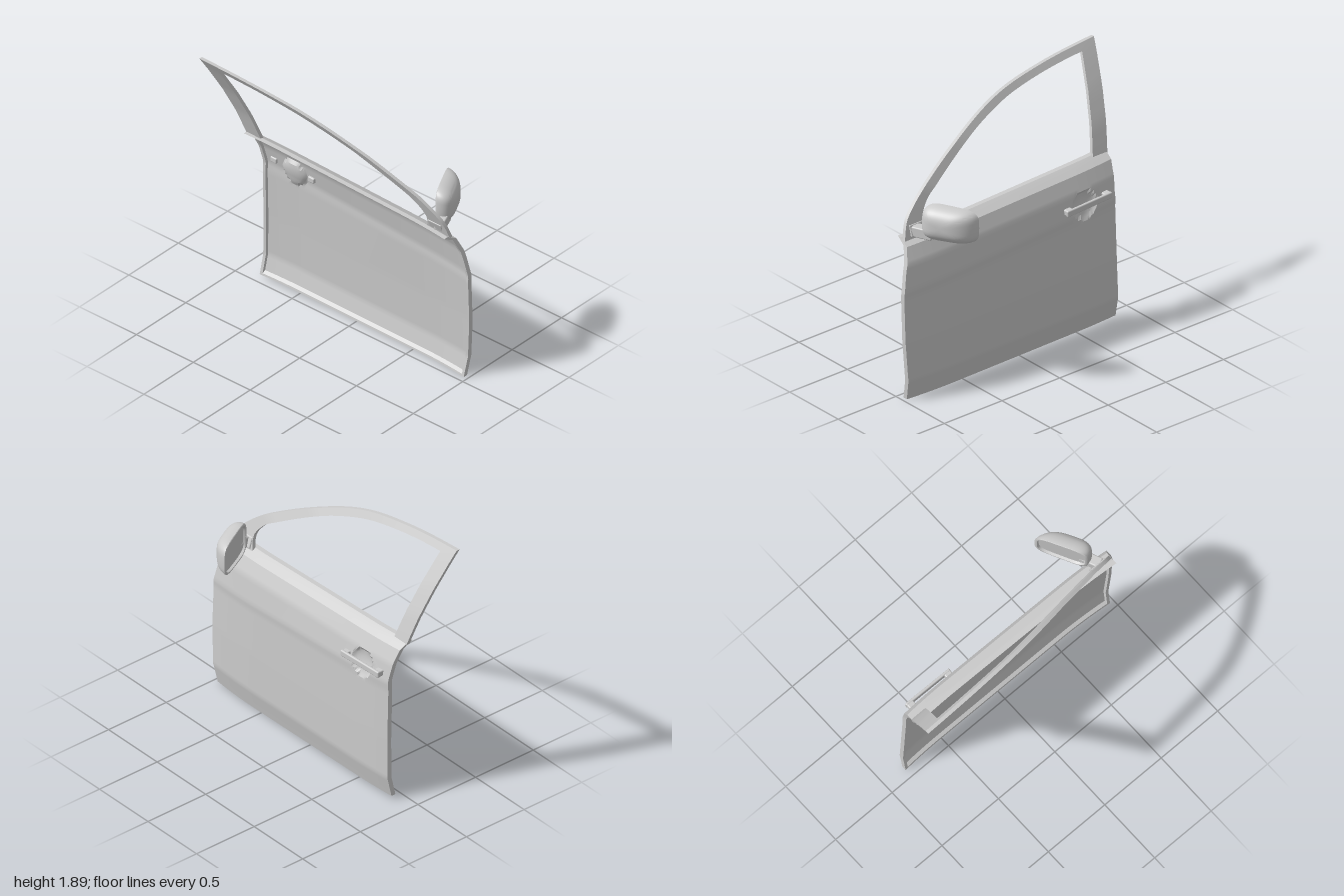
import * as THREE from 'three';
import { toCreasedNormals } from 'three/addons/utils/BufferGeometryUtils.js';
import { RoundedBoxGeometry } from 'three/addons/geometries/RoundedBoxGeometry.js';

const material = new THREE.MeshStandardMaterial({ color: 0xcccccc, side: THREE.DoubleSide });

// Linear lookup in a table of [key, value] pairs with rising keys.
function lookup(table, key) {
  let i = 1;
  while (i < table.length - 1 && key > table[i][0]) i++;
  const [k0, v0] = table[i - 1], [k1, v1] = table[i];
  return v0 + (v1 - v0) * THREE.MathUtils.clamp((key - k0) / (k1 - k0), 0, 1);
}

// Skin a list of closed cross-sections.
function loft(rings, crease) {
  const n = rings[0].length, index = [];
  for (let i = 0; i < rings.length - 1; i++) {
    for (let j = 0; j < n; j++) {
      const a = i * n + j, b = i * n + (j + 1) % n;
      index.push(a, b, b + n, a, b + n, a + n);
    }
  }
  const geometry = new THREE.BufferGeometry();
  geometry.setAttribute('position', new THREE.Float32BufferAttribute(rings.flat(2), 3));
  geometry.setIndex(index);
  return toCreasedNormals(geometry, crease);
}

// Shrink a section to its centre, closing the end of a loft.
function collapse(ring) {
  const c = [0, 1, 2].map(k => ring.reduce((sum, p) => sum + p[k], 0) / ring.length);
  return ring.map(() => c);
}

function add(parent, name, geometry) {
  const mesh = new THREE.Mesh(geometry, material);
  mesh.name = name;
  parent.add(mesh);
  return mesh;
}

// Front and rear edges of the panel: [height, z].
const FRONT = [[0, 0.97], [0.2, 0.985], [0.45, 1], [0.8, 1], [0.95, 0.97], [1.15, 0.91]];
const REAR = [[0, -0.832], [0.45, -0.82], [0.95, -0.815], [1.1, -0.833], [1.22, -0.853]];
// Creases along the panel: [height at front, height at rear, x].
const CREASES = [
  [0, 0.02, 0.1], [0.03, 0.05, 0.106], [0.15, 0.17, 0.131], [0.45, 0.48, 0.125], [0.76, 0.85, 0.113],
  [0.81, 0.92, 0.116], [1.0, 1.06, 0.087], [1.105, 1.165, 0.04], [1.14, 1.205, -0.025], [1.145, 1.21, -0.035],
];

// Sheet-metal panel with a turned-in rim and a finger recess behind the handle.
function panelGeometry() {
  const columns = [0, 0.012, 0.013];
  for (let j = 1; j < 120; j++) columns.push(0.013 + 0.974 * j / 120);
  columns.push(0.987, 0.988, 1);
  const rows = [];
  CREASES.slice(0, -1).forEach((low, i) => {
    const high = CREASES[i + 1], steps = Math.ceil((high[1] - low[1]) / 0.025);
    for (let k = 0; k < steps; k++) rows.push(low.map((v, c) => v + (high[c] - v) * k / steps));
  });
  rows.push(CREASES.at(-1));

  const rings = rows.map(([yFront, yRear, x], i) => {
    const outer = [], inner = [];
    const z0 = lookup(FRONT, yFront), z1 = lookup(REAR, yRear);
    columns.forEach((u, j) => {
      const z = z0 + (z1 - z0) * u, y = yFront + (yRear - yFront) * u;
      const tuck = 0.025 * Math.max(0, (z - 0.55) / 0.45) ** 2 + 0.012 * Math.max(0, (-z - 0.5) / 0.33) ** 2;
      const r2 = ((z + 0.55) ** 2 + (y - 0.95) ** 2) / 0.01;
      const px = x - tuck - 0.035 * Math.sqrt(Math.max(0, 1 - r2));
      const rim = j < 2 || j > columns.length - 3 || i < 2 || i > rows.length - 3;
      outer.push([px, y, z]);
      inner.unshift([px - (rim ? 0.034 : 0.014), y, z]);
    });
    return outer.concat(inner);
  });
  // Close the bottom and the sill between the two skins.
  const close = ring => ring.map((p, j) => {
    const q = ring[ring.length - 1 - j];
    return [(p[0] + q[0]) / 2, p[1], p[2]];
  });
  return loft([close(rings[0]), ...rings, close(rings.at(-1))], 0.4);
}

// Window frame: inward lean by height, and outer / inner edge points [z, y].
const LEAN = [[1.1, 0.0], [1.2, -0.025], [1.3, -0.057], [1.4, -0.09], [1.6, -0.178], [1.8, -0.285], [1.89, -0.338]];
const ARCH_OUT = [[0.915, 1.13], [0.885, 1.22], [0.85, 1.275], [0.72, 1.385], [0.6, 1.46], [0.4, 1.57],
  [0.2, 1.665], [0, 1.745], [-0.2, 1.802], [-0.5, 1.848], [-0.75, 1.872], [-1, 1.887]];
const ARCH_IN = [[0.715, 1.13], [0.735, 1.21], [0.73, 1.26], [0.665, 1.345], [0.565, 1.41], [0.375, 1.52],
  [0.18, 1.62], [-0.01, 1.695], [-0.2, 1.752], [-0.46, 1.797], [-0.68, 1.82], [-0.87, 1.832]];

function frameGeometry() {
  const curve = points => new THREE.CatmullRomCurve3(points.map(([z, y]) => new THREE.Vector3(0, y, z)));
  const out = curve(ARCH_OUT), inn = curve(ARCH_IN), pairs = [];
  for (let i = 0; i <= 66; i++) pairs.push([out.getPoint(i / 66), inn.getPoint(i / 66)]);
  // Rear pillar runs from the top corner down to the sill.
  const top = pairs.at(-1), foot = [new THREE.Vector3(0, 1.19, -0.853), new THREE.Vector3(0, 1.19, -0.727)];
  for (let i = 1; i <= 14; i++) pairs.push([0, 1].map(k => top[k].clone().lerp(foot[k], i / 14)));
  const rings = pairs.map(([o, n]) => {
    const xo = lookup(LEAN, o.y), xn = lookup(LEAN, n.y);
    return [[xo, o.y, o.z], [xn, n.y, n.z], [xn - 0.026, n.y, n.z], [xo - 0.026, o.y, o.z]];
  });
  return loft([collapse(rings[0]), ...rings, collapse(rings.at(-1))], 0.5);
}

// Mirror housing: rounded-rectangle sections swelling forward from a recessed glass.
function mirrorSection(scale, z, shift = 0) {
  const ring = [];
  for (let j = 0; j < 48; j++) {
    const a = j / 48 * Math.PI * 2, c = Math.cos(a), s = Math.sin(a);
    const px = Math.sign(c) * Math.abs(c) ** 0.5, py = Math.sign(s) * Math.abs(s) ** 0.5;
    ring.push([0.19 * scale * px + shift, 0.127 * scale * py * (1 - 0.04 * px), z]);
  }
  return ring;
}

function createMirror() {
  const mirror = new THREE.Group();
  mirror.name = 'sideMirror';
  const rings = [mirrorSection(0.87, 0.018), mirrorSection(0.9, 0), mirrorSection(0.97, 0)];
  for (let i = 0; i <= 16; i++) {
    const a = i / 16 * Math.PI / 2;
    rings.push(mirrorSection(Math.cos(a) ** 0.75, 0.004 + 0.122 * Math.sin(a), -0.05 * Math.sin(a)));
  }
  const housing = new THREE.Group();
  housing.name = 'mirrorHead';
  add(housing, 'mirrorHousing', loft(rings, 0.7));
  const glass = mirrorSection(0.88, 0.018);
  add(housing, 'mirrorGlass', loft([collapse(glass), glass], 0.5));
  housing.position.set(0.183, 1.262, 0.658);
  housing.rotation.y = 0.48;
  mirror.add(housing);

  // Arm and its foot on the front corner of the frame.
  const arm = add(mirror, 'mirrorArm', new RoundedBoxGeometry(0.15, 0.075, 0.075, 3, 0.01));
  arm.position.set(0.035, 1.18, 0.79);
  arm.rotation.y = 0.4;
  const foot = add(mirror, 'mirrorFoot', new RoundedBoxGeometry(0.035, 0.085, 0.12, 2, 0.008));
  foot.position.set(-0.03, 1.18, 0.8);
  foot.rotation.z = 0.35;
  return mirror;
}

// Pull handle: a bar on two mounts that pass through the panel.
function createHandle() {
  const handle = new THREE.Group();
  handle.name = 'doorHandle';
  const bar = add(handle, 'handleBar', new RoundedBoxGeometry(0.022, 0.046, 0.39, 3, 0.009));
  bar.position.x = 0.03;
  for (const z of [-0.165, 0.165]) {
    const mount = add(handle, 'handleMount', new RoundedBoxGeometry(0.065, 0.042, 0.055, 3, 0.009));
    mount.position.set(0, 0, z);
  }
  handle.position.set(0.104, 0.962, -0.565);
  handle.rotation.x = 0.045;
  return handle;
}

export function createModel() {
  const door = new THREE.Group();
  door.name = 'carDoor';
  add(door, 'doorPanel', panelGeometry());
  add(door, 'windowFrame', frameGeometry());
  door.add(createMirror(), createHandle());
  return door;
}
